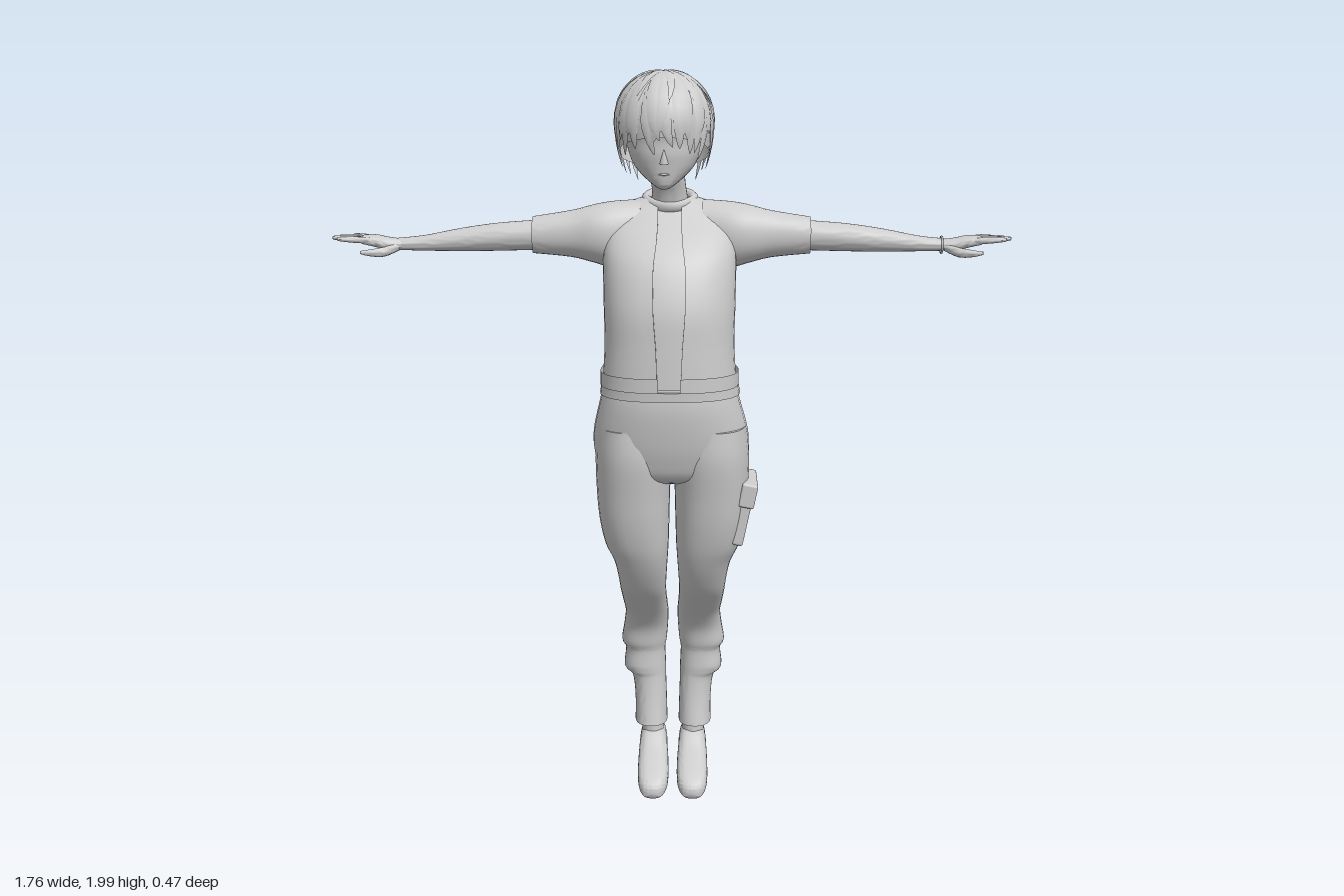
import * as THREE from 'three';
import { toCreasedNormals } from 'three/addons/utils/BufferGeometryUtils.js';
import { RoundedBoxGeometry } from 'three/addons/geometries/RoundedBoxGeometry.js';

const clay = new THREE.MeshStandardMaterial({ color: 0xcccccc, side: THREE.DoubleSide });
clay.name = 'light grey';
const V = (x, y, z) => new THREE.Vector3(x, y, z);
const spow = (v, e) => Math.sign(v) * Math.pow(Math.abs(v), e);

function add(parent, name, geometry) {
  const mesh = new THREE.Mesh(geometry, clay);
  mesh.name = name;
  parent.add(mesh);
  return mesh;
}

// Skin a list of equal-length rings; winding is turned outward by signed volume
function skin(rings, { closed = true, caps = true, crease = 0.8 } = {}) {
  const n = rings[0].length, pts = rings.flat(), tris = [];
  for (let i = 0; i < rings.length - 1; i++) {
    for (let j = 0; j < (closed ? n : n - 1); j++) {
      const a = i * n + j, b = i * n + (j + 1) % n;
      tris.push([a, b, b + n], [a, b + n, a + n]);
    }
  }
  if (caps) {
    [0, rings.length - 1].forEach((r) => {
      const centre = rings[r].reduce((s, p) => s.add(p), V(0, 0, 0)).divideScalar(n);
      const c = pts.push(centre) - 1;
      for (let j = 0; j < n; j++) {
        const a = r * n + j, b = r * n + (j + 1) % n;
        tris.push(r === 0 ? [c, b, a] : [c, a, b]);
      }
    });
  }
  const mid = pts.reduce((s, p) => s.add(p), V(0, 0, 0)).divideScalar(pts.length);
  const rel = pts.map((p) => p.clone().sub(mid));
  const volume = tris.reduce((s, [a, b, c]) => s + rel[a].dot(rel[b].clone().cross(rel[c])), 0);
  const g = new THREE.BufferGeometry().setFromPoints(pts);
  g.setIndex(tris.flatMap(([a, b, c]) => (volume < 0 ? [a, c, b] : [a, b, c])));
  return toCreasedNormals(g, crease);
}

// Smooth in-between rows for a table of sections
function refine(rows, steps) {
  const out = [], at = (i) => rows[Math.min(Math.max(i, 0), rows.length - 1)];
  for (let i = 0; i < rows.length - 1; i++) {
    for (let k = 0; k < steps; k++) {
      const t = k / steps;
      out.push(rows[i].map((p1, c) => {
        const p0 = at(i - 1)[c], p2 = at(i + 1)[c], p3 = at(i + 2)[c];
        return p1 + 0.5 * t * (p2 - p0 + t * (2 * p0 - 5 * p1 + 4 * p2 - p3 + t * (3 * (p1 - p2) + p3 - p0)));
      }));
    }
  }
  out.push(rows[rows.length - 1]);
  return out;
}

// Loft rounded sections [position, aMin, aMax, bMin, bMax] along an axis
const place = {
  x: (p, a, b) => V(p, a, b),
  y: (p, a, b) => V(a, p, b),
  z: (p, a, b) => V(a, b, p),
};
function loft(axis, rows, { n = 2.2, steps = 4, sides = 32, side = 1, crease } = {}) {
  const rings = refine(rows, steps).map(([p, a0, a1, b0, b1]) =>
    Array.from({ length: sides }, (_, j) => {
      const t = (j / sides) * Math.PI * 2;
      const q = place[axis](p,
        (a0 + a1) / 2 + (a1 - a0) / 2 * spow(Math.sin(t), 2 / n),
        (b0 + b1) / 2 + (b1 - b0) / 2 * spow(Math.cos(t), 2 / n));
      q.x *= side;
      return q;
    }));
  return skin(rings, { crease });
}

// Torso sections [y, half width, zBack, zFront, half opening]
const TORSO = [
  [1.2, 0.174, -0.038, 0.236, 0.03], [1.3, 0.168, -0.045, 0.232, 0.033], [1.4, 0.17, -0.065, 0.224, 0.04],
  [1.5, 0.172, -0.08, 0.188, 0.04], [1.56, 0.17, -0.084, 0.14, 0.033], [1.61, 0.158, -0.084, 0.08, 0.03],
  [1.645, 0.125, -0.08, 0.04, 0.03], [1.665, 0.07, -0.07, 0.025, 0.03],
];

// Open-fronted shell with folded-in edges
function frontShell(rows, n, grow, steps) {
  const rings = refine(rows, steps).map(([y, w, back, front, gap]) => {
    const rx = w + grow, cz = (front + back) / 2, rz = (front - back) / 2 + grow;
    const a = Math.asin(Math.pow(gap / rx, n / 2)), ring = [];
    for (let j = 0; j <= 40; j++) {
      const t = a + (j / 40) * (Math.PI * 2 - 2 * a);
      ring.push(V(-0.004 + rx * spow(Math.sin(t), 2 / n), y, cz + rz * spow(Math.cos(t), 2 / n)));
    }
    const fold = (p) => V(p.x, p.y, p.z - 0.025);
    return [fold(ring[0]), ...ring, fold(ring[40])];
  });
  return skin(rings, { closed: false, caps: false });
}

function buildBody(g) {
  add(g, 'shirt', loft('y', TORSO.map(([y, w, b, f]) => [y, -w + 0.012, w - 0.02, b + 0.014, f - 0.014]), { n: 2.4 }));
  add(g, 'jacket', frontShell(TORSO, 2.4, 0, 5));
  add(g, 'jacketHem', frontShell([[1.195, 0.174, -0.04, 0.236, 0.028], [1.232, 0.174, -0.04, 0.236, 0.028]], 2.4, 0.005, 1));
  const collar = add(g, 'collar', new THREE.TorusGeometry(0.056, 0.012, 10, 32));
  collar.rotation.x = Math.PI / 2 + 0.25;
  collar.scale.set(1.1, 1, 1.4);
  collar.position.set(-0.004, 1.658, -0.02);
  add(g, 'neck', loft('y', [[1.63, -0.055, 0.048, -0.065, 0.035], [1.68, -0.05, 0.04, -0.045, 0.05],
    [1.72, -0.055, 0.035, -0.035, 0.07], [1.78, -0.06, 0.03, -0.03, 0.09]]));
  add(g, 'hips', loft('y', [[1.205, -0.172, 0.165, -0.045, 0.21], [1.14, -0.188, 0.182, -0.075, 0.214],
    [1.06, -0.205, 0.203, -0.1, 0.203], [1.0, -0.203, 0.203, -0.1, 0.188], [0.95, -0.185, 0.185, -0.07, 0.165],
    [0.925, -0.12, 0.12, -0.02, 0.11]], { n: 2.4 }));
  add(g, 'belt', loft('y', [[1.168, -0.186, 0.18, -0.068, 0.221], [1.192, -0.182, 0.176, -0.06, 0.222]], { n: 2.4, steps: 1 }));
}

function buildArm(g, side) {
  const arm = new THREE.Group();
  arm.name = side > 0 ? 'leftArm' : 'rightArm';
  g.add(arm);
  add(arm, 'sleeve', loft('x', [[0.08, 1.5, 1.66, -0.075, 0.06], [0.15, 1.485, 1.656, -0.078, 0.08],
    [0.2, 1.497, 1.648, -0.068, 0.08], [0.26, 1.512, 1.633, -0.05, 0.066], [0.36, 1.522, 1.617, -0.036, 0.056]], { side }));
  add(arm, 'forearm', loft('x', [[0.33, 1.531, 1.609, -0.03, 0.05], [0.45, 1.528, 1.6, -0.03, 0.05],
    [0.55, 1.527, 1.586, -0.022, 0.047], [0.64, 1.529, 1.569, -0.008, 0.045], [0.71, 1.531, 1.562, 0, 0.044]], { side }));
  add(arm, 'palm', loft('x', [[0.695, 1.533, 1.56, 0.002, 0.043], [0.73, 1.53, 1.563, -0.008, 0.05],
    [0.77, 1.54, 1.57, -0.016, 0.056], [0.8, 1.547, 1.569, -0.016, 0.056]], { side, n: 2.6 }));
  // Fingers: slim tapered lofts fanning from the palm
  [0.835, 0.865, 0.878, 0.862].forEach((tip, i) => {
    const z = -0.008 + i * 0.0185, spread = (i - 1.5) * 0.004;
    add(arm, 'finger', loft('x', [[0.78, 1.55, 1.567, z - 0.009, z + 0.009], [(0.78 + tip) / 2, 1.553, 1.569, z + spread - 0.009, z + spread + 0.009],
      [tip - 0.006, 1.558, 1.569, z + spread * 2 - 0.007, z + spread * 2 + 0.007], [tip, 1.561, 1.566, z + spread * 2 - 0.003, z + spread * 2 + 0.003]], { side, sides: 10, steps: 3 }));
  });
  add(arm, 'thumb', loft('x', [[0.705, 1.532, 1.552, 0.025, 0.045], [0.74, 1.518, 1.543, 0.043, 0.069],
    [0.775, 1.52, 1.538, 0.06, 0.08], [0.8, 1.527, 1.535, 0.073, 0.082]], { side, sides: 12 }));
  if (side > 0) {
    const band = add(arm, 'bracelet', new THREE.TorusGeometry(0.021, 0.003, 6, 24));
    band.rotation.y = Math.PI / 2;
    band.position.set(0.7, 1.546, 0.022);
  }
}

function buildLeg(g, side) {
  const leg = new THREE.Group();
  leg.name = side > 0 ? 'leftLeg' : 'rightLeg';
  leg.position.x = 0.003;
  g.add(leg);
  add(leg, 'trouserLeg', loft('y', [[1.08, 0.02, 0.195, -0.085, 0.19], [1.0, 0.004, 0.204, -0.11, 0.192], [0.9, 0.006, 0.202, -0.09, 0.175],
    [0.82, 0.008, 0.195, -0.07, 0.16], [0.75, 0.01, 0.18, -0.05, 0.14], [0.7, 0.013, 0.158, -0.045, 0.118],
    [0.65, 0.016, 0.148, -0.058, 0.09], [0.6, 0.018, 0.143, -0.09, 0.055], [0.55, 0.016, 0.138, -0.15, 0.005],
    [0.5, 0.013, 0.133, -0.2, -0.045], [0.45, 0.014, 0.138, -0.227, -0.08], [0.4, 0.018, 0.145, -0.232, -0.092],
    [0.375, 0.022, 0.134, -0.222, -0.1], [0.32, 0.02, 0.138, -0.222, -0.1], [0.295, 0.02, 0.116, -0.217, -0.104],
    [0.23, 0.018, 0.108, -0.215, -0.098], [0.158, 0.016, 0.108, -0.224, -0.085]], { side, n: 2.3 }));
  add(leg, 'ankle', loft('y', [[0.17, 0.026, 0.088, -0.194, -0.102], [0.1, 0.026, 0.088, -0.194, -0.1]], { side, steps: 1 }));
  add(leg, 'shoe', loft('z', [[-0.202, 0.03, 0.082, 0.008, 0.115], [-0.195, 0.02, 0.092, 0, 0.138], [-0.15, 0.016, 0.095, 0, 0.143],
    [-0.105, 0.015, 0.096, 0, 0.138], [-0.06, 0.012, 0.098, 0, 0.106], [-0.01, 0.012, 0.098, 0, 0.08],
    [0.03, 0.017, 0.093, 0, 0.058], [0.052, 0.028, 0.083, 0, 0.042], [0.06, 0.04, 0.07, 0.006, 0.03]], { side, n: 3 }));
  if (side > 0) {
    // Cargo pocket with flap on the left thigh
    const pocket = new THREE.Group();
    pocket.name = 'cargoPocket';
    pocket.position.set(0.188, 0.845, 0.06);
    pocket.rotation.set(0.04, 0, -0.2);
    leg.add(pocket);
    add(pocket, 'pocketBag', new RoundedBoxGeometry(0.03, 0.17, 0.135, 3, 0.008));
    add(pocket, 'pocketFlap', new RoundedBoxGeometry(0.042, 0.065, 0.155, 3, 0.006)).position.y = 0.058;
  }
}

// Hair surface: angle phi from the front, u from crown (0) to hem (1)
const SKULL = V(-0.018, 1.86, 0.062);
const hem = (phi) => 1.765 + 0.055 * Math.max(0, Math.cos(phi)) ** 0.7 - 0.035 * Math.max(0, -Math.cos(phi));
function hairAt(phi, u, bottom, lift) {
  const y = u < 0.5 ? 0.125 * Math.cos(u * Math.PI) : (bottom - 1.86) * (u - 0.5) * 2;
  const f = y > 0 ? Math.sin(u * Math.PI) : 1 - 0.22 * (y / 0.14) ** 2;
  return V(0.12 * f * Math.sin(phi), y, 0.138 * f * Math.cos(phi)).multiplyScalar(lift).add(SKULL);
}

function buildHead(g) {
  const head = new THREE.Group();
  head.name = 'head';
  g.add(head);
  const cx = -0.017;
  add(head, 'face', loft('y', [[1.699, -0.012, 0.012, 0.115, 0.143], [1.708, -0.027, 0.027, 0.08, 0.153], [1.73, -0.055, 0.055, 0.02, 0.158],
    [1.755, -0.077, 0.077, -0.01, 0.162], [1.785, -0.09, 0.09, -0.03, 0.167], [1.82, -0.098, 0.098, -0.045, 0.168],
    [1.87, -0.103, 0.103, -0.055, 0.178], [1.92, -0.09, 0.09, -0.04, 0.16], [1.96, -0.05, 0.05, 0.01, 0.11]]
    .map(([y, a, b, c, d]) => [y, a + cx, b + cx, c, d])));
  const nose = add(head, 'nose', new THREE.ConeGeometry(0.011, 0.038, 12));
  nose.position.set(cx, 1.783, 0.167);
  nose.rotation.x = 0.2;
  for (const s of [-1, 1]) {
    const eye = add(head, 'eye', new THREE.SphereGeometry(1, 16, 10));
    eye.scale.set(0.019, 0.01, 0.004);
    eye.position.set(cx + s * 0.042, 1.808, 0.152);
    eye.rotation.y = s * 0.35;
  }
  const mouth = add(head, 'mouth', new THREE.SphereGeometry(1, 12, 8));
  mouth.scale.set(0.014, 0.003, 0.004);
  mouth.position.set(cx, 1.737, 0.158);

  // Hair cap
  const cap = Array.from({ length: 17 }, (_, i) => Array.from({ length: 40 }, (_, j) => {
    const phi = (j / 40) * Math.PI * 2;
    return hairAt(phi, Math.max(i / 16, 0.005), hem(phi) + 0.01, 1);
  }));
  add(head, 'hairCap', skin(cap, { caps: false, crease: 1.2 }));

  // Pointed locks in a long under layer and a shorter, looser upper layer
  let seed = 7;
  const rand = () => (seed = (seed * 16807) % 2147483647) / 2147483647;
  const layers = [{ count: 26, start: 0.12, end: 1, lift: 1.0, flare: 0.05, width: 0.021 },
    { count: 17, start: 0.04, end: 0.78, lift: 1.015, flare: 0.06, width: 0.025 },
    { count: 7, start: 0.03, end: 0.42, lift: 1.03, flare: 0.08, width: 0.016 }];
  for (const L of layers) {
    for (let k = 0; k < L.count; k++) {
      const phi0 = ((k + 0.5 * rand()) / L.count) * Math.PI * 2, sway = (rand() - 0.5) * 0.45;
      const bottom = hem(phi0) - 0.005 - 0.025 * rand(), end = L.end - 0.12 * rand() * (L.end < 1);
      const rings = Array.from({ length: 11 }, (_, i) => {
        const t = i / 10, phi = phi0 + sway * t * t;
        const p = hairAt(phi, L.start + (end - L.start) * t, bottom, L.lift + L.flare * t * (1 - 0.4 * t));
        const w = L.width * Math.min(1, 0.35 + t * 1.6) * Math.pow(1 - t, 0.6) + 0.0008;
        const across = V(Math.cos(phi), 0, -Math.sin(phi)).multiplyScalar(w);
        const out = p.clone().sub(SKULL).normalize().multiplyScalar(w * 0.35);
        return [p.clone().add(across), p.clone().add(out), p.clone().sub(across), p.clone().sub(out)];
      });
      add(head, 'hairLock', skin(rings, { crease: 0.9 }));
    }
  }
}

export function createModel() {
  const model = new THREE.Group();
  model.name = 'standingFigure';
  buildBody(model);
  for (const side of [1, -1]) {
    buildArm(model, side);
    buildLeg(model, side);
  }
  buildHead(model);
  return model;
}
